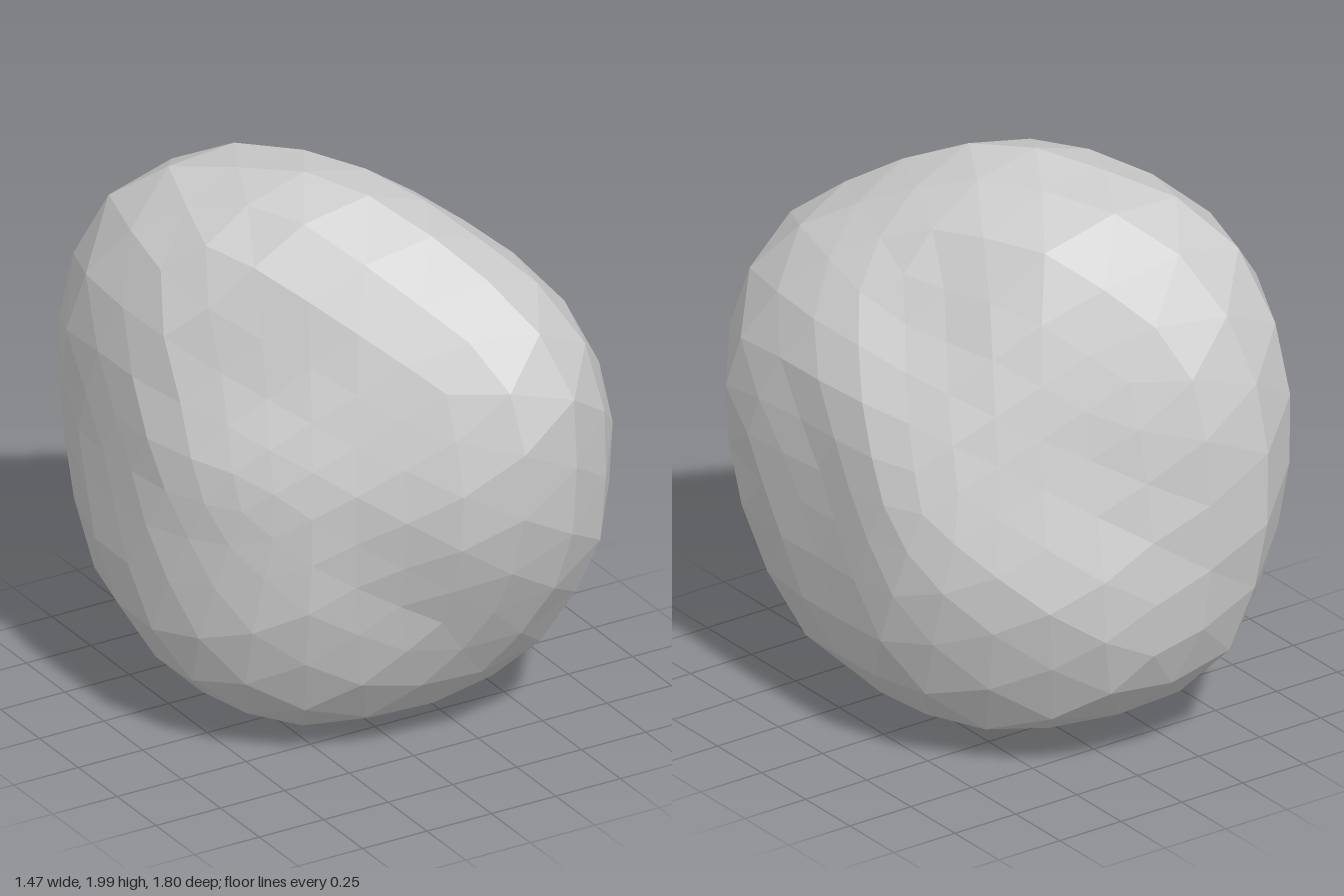
import * as THREE from 'three';

// Outlines of the boulder around its middle, as x, y pairs (clockwise from the top)
const FRONT = [-.03, 1, .27, .87, .48, .7, .58, .58, .68, .38, .73, .1, .69, -.25, .64, -.65, .5, -.85, .28, -.96, -.06, -1,
  -.2, -.98, -.38, -.91, -.55, -.82, -.66, -.69, -.72, -.5, -.73, -.25, -.72, .05, -.72, .37, -.64, .65, -.52, .84, -.25, .94, -.16, .99];
const SIDE = [.06, 1, .6, .87, .73, .73, .81, .57, .89, .23, .92, .05, .92, -.08, .83, -.55, .75, -.7, .6, -.83, .25, -.94, -.1, -1,
  -.28, -.96, -.43, -.87, -.58, -.67, -.73, -.47, -.84, -.22, -.92, .15, -.92, .31, -.87, .48, -.66, .68, -.46, .86, -.2, .96];
const PLAN = [-.28, .92, -.12, .88, .15, .83, .39, .7, .53, .57, .63, .4, .69, .2, .68, -.19, .72, -.32, .73, -.47, .68, -.66, .62, -.73,
  .3, -.91, .22, -.91, -.08, -.78, -.2, -.66, -.43, -.51, -.62, -.3, -.73, -.02, -.72, .43, -.65, .72, -.58, .82, -.45, .9];
const END_A = [-.18, 1.05, .18, 1.07, .36, .87, .52, .51, .64, .17, .77, -.22, .7, -.46, .61, -.74, .26, -.97, -.13, -.98,
  -.48, -.79, -.66, -.4, -.68, -.11, -.64, .18, -.51, .45, -.48, .65, -.42, .82];
const END_B = [.02, 1.01, .17, .99, .32, .84, .48, .64, .55, .4, .65, .11, .68, -.22, .67, -.48, .52, -.82, .35, -.95, .07, -1.02,
  -.33, -.98, -.58, -.85, -.65, -.7, -.77, -.35, -.74, -.06, -.63, .24, -.5, .49, -.31, .79, -.14, .93];
const BROAD = [.38, .95, .56, .93, .69, .85, .86, .6, .98, .3, .95, -.05, .82, -.49, .55, -.82, .15, -.98, -.08, -.98,
  -.3, -.92, -.65, -.7, -.92, -.3, -.96, .2, -.79, .51, -.33, .79, -.1, .89];

// Centres of the worn hollows
const HOLLOWS = [
  [.40, .59, -.12], [-.36, .53, .33], [-.1, -.36, .65], [.04, .03, -.78],
].map((p) => new THREE.Vector3(...p));

// An outline swept along an axis given by azimuth and elevation in degrees
function sweep(points, azimuth, elevation) {
  const a = THREE.MathUtils.degToRad(azimuth), e = THREE.MathUtils.degToRad(elevation);
  return {
    points,
    right: new THREE.Vector3(Math.cos(a), 0, -Math.sin(a)),
    up: new THREE.Vector3(-Math.sin(a) * Math.sin(e), Math.cos(e), -Math.cos(a) * Math.sin(e)),
  };
}

const SWEEPS = [
  sweep(FRONT, 0, 0), sweep(SIDE, 90, 0), sweep(PLAN, 0, 90),
  sweep(END_A, 45, 23), sweep(END_B, 225, 23), sweep(BROAD, 135, -23),
];

// Inverse distance from the middle to the swept outline along a direction
function inverseReach({ points, right, up }, dir) {
  const dx = dir.dot(right), dy = dir.dot(up);
  for (let i = 0; i < points.length; i += 2) {
    const j = (i + 2) % points.length;
    const ax = points[i], ay = points[i + 1], bx = points[j], by = points[j + 1];
    const ca = ax * dy - ay * dx, cb = bx * dy - by * dx;
    if (ca * cb <= 0 && (ax + bx) * dx + (ay + by) * dy > 0) {
      return Math.abs((cb - ca) / (ax * by - ay * bx));
    }
  }
  return 0;
}

// Intersection of all swept outlines
const hullRadius = (dir) => 1 / Math.max(...SWEEPS.map((s) => inverseReach(s, dir)));

// Nearby offsets averaged to wear down the ridges
const WEAR = [[0, 0, 0]];
for (const s of [-0.17, 0.17]) WEAR.push([s, 0, 0], [0, s, 0], [0, 0, s]);
const OFFSETS = WEAR.map((o) => new THREE.Vector3(...o));

function wornRadius(dir) {
  let sum = 0;
  for (const o of OFFSETS) sum += hullRadius(dir.clone().add(o).normalize());
  return sum / OFFSETS.length;
}

// Worn hull pulled in smoothly to each hollow
function radius(dir) {
  let r = wornRadius(dir);
  for (const h of HOLLOWS) {
    const depth = Math.min(1, h.length() / wornRadius(h.clone().normalize()));
    r *= 1 - (1 - depth) * Math.exp(-((dir.angleTo(h) / 0.32) ** 2));
  }
  return r * 1.015;
}

export function createModel() {
  const group = new THREE.Group();
  group.name = 'boulder';

  // Faceted ball shaped into the boulder, standing on the ground
  const geometry = new THREE.IcosahedronGeometry(1, 4);
  const pos = geometry.attributes.position;
  const v = new THREE.Vector3();
  for (let i = 0; i < pos.count; i++) {
    v.fromBufferAttribute(pos, i).normalize();
    v.multiplyScalar(radius(v));
    pos.setXYZ(i, v.x, v.y, v.z);
  }
  geometry.computeBoundingBox();
  geometry.translate(0, -geometry.boundingBox.min.y, 0);
  geometry.computeVertexNormals();

  const stone = new THREE.Mesh(geometry, new THREE.MeshStandardMaterial({ color: 0xcccccc, flatShading: true }));
  stone.name = 'stone';
  group.add(stone);
  return group;
}
